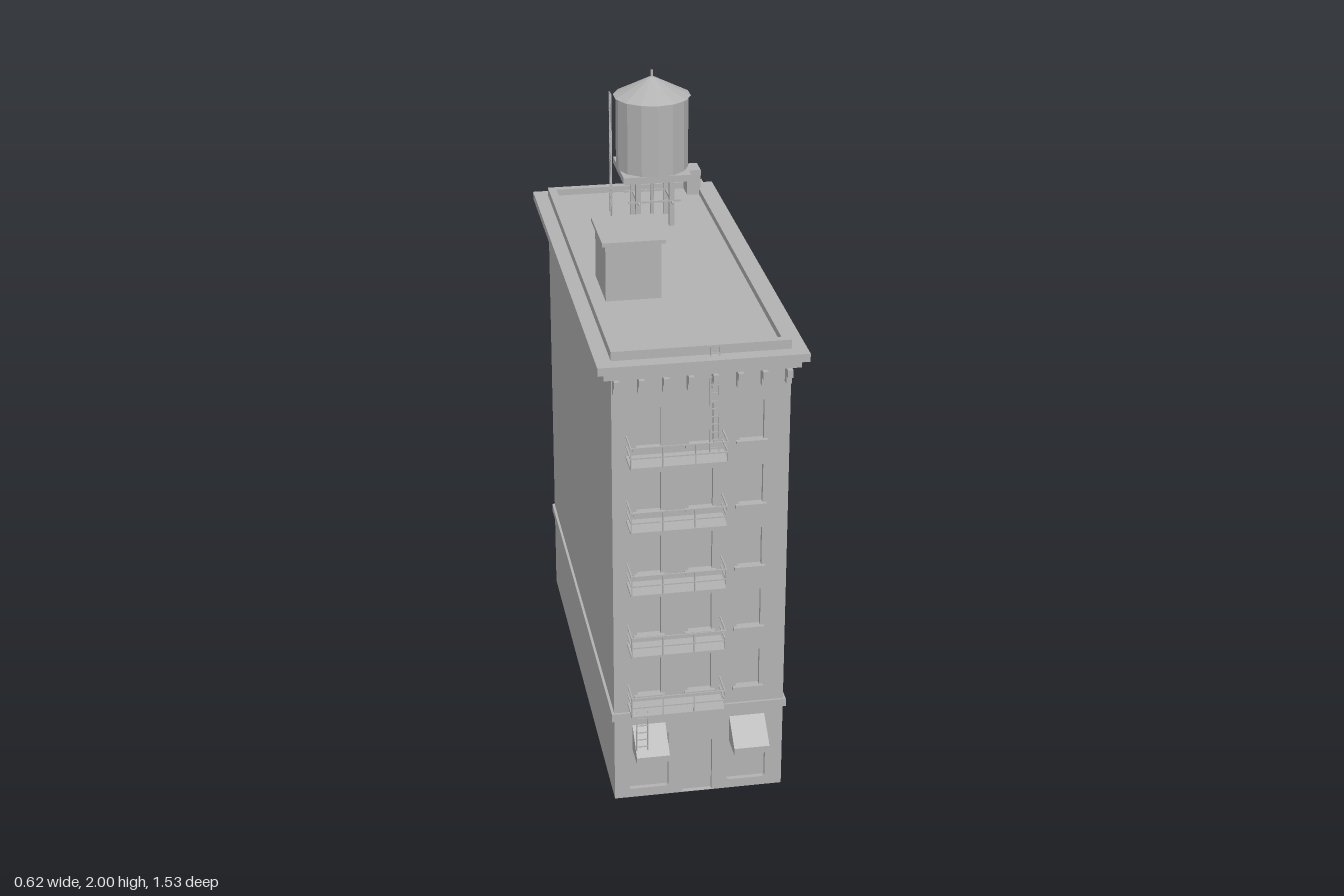
import * as THREE from 'three';

export function createModel() {
  const model = new THREE.Group();
  const stone = new THREE.MeshStandardMaterial({ color: 0xb2b2b2 });
  stone.name = 'stone grey';
  stone.flatShading = true;
  stone.side = THREE.DoubleSide;

  const add = (name, geometry, parent = model) => {
    const mesh = new THREE.Mesh(geometry, stone);
    mesh.name = name;
    parent.add(mesh);
    return mesh;
  };
  const group = (name) => {
    const g = new THREE.Group();
    g.name = name;
    model.add(g);
    return g;
  };
  // Box given by its extents on each axis
  const box = (name, x0, x1, y0, y1, z0, z1, parent) => {
    const mesh = add(name, new THREE.BoxGeometry(x1 - x0, y1 - y0, z1 - z0), parent);
    mesh.position.set((x0 + x1) / 2, (y0 + y1) / 2, (z0 + z1) / 2);
    return mesh;
  };
  // Rectangle outline with optional rounded corners
  const rect = (Type, x0, x1, y0, y1, r = 0) => {
    const s = new Type();
    if (!r) {
      return s.setFromPoints([[x0, y0], [x1, y0], [x1, y1], [x0, y1]].map(([x, y]) => new THREE.Vector2(x, y)));
    }
    s.absarc(x1 - r, y0 + r, r, -Math.PI / 2, 0);
    s.absarc(x1 - r, y1 - r, r, 0, Math.PI / 2);
    s.absarc(x0 + r, y1 - r, r, Math.PI / 2, Math.PI);
    s.absarc(x0 + r, y0 + r, r, Math.PI, Math.PI * 1.5);
    s.closePath();
    return s;
  };

  const W = 0.263, FRONT = 0.68, BACK = -0.72, MID = -0.02, DEPTH = 0.7, T = 0.02, WALL = 1.44;
  const floors = [0, 1, 2, 3, 4].map((i) => 0.37 + i * 0.209);
  const columns = [-0.155, 0, 0.15];

  // Hollow band running round the whole building
  const band = (name, out, inn, y0, y1) => {
    const s = rect(THREE.Shape, -W - out, W + out, -DEPTH - out, DEPTH + out);
    s.holes.push(rect(THREE.Path, -W + inn, W - inn, -DEPTH + inn, DEPTH - inn));
    const g = new THREE.ExtrudeGeometry(s, { depth: y1 - y0, bevelEnabled: false });
    g.rotateX(-Math.PI / 2);
    add(name, g).position.set(0, y0, MID);
  };

  // Wall pierced by openings, each closed by a recessed pane
  const piercedWall = (name, z, paneZ, openings) => {
    const g = group(name);
    const s = rect(THREE.Shape, -W, W, 0, WALL);
    for (const [x0, x1, y0, y1, r] of openings) {
      s.holes.push(rect(THREE.Path, x0, x1, y0, y1, r));
      box('pane', x0, x1, y0, y1, paneZ - 0.002, paneZ + 0.002, g);
    }
    add('wall', new THREE.ExtrudeGeometry(s, { depth: T, bevelEnabled: false, curveSegments: 4 }), g).position.z = z;
  };

  const windows = floors.flatMap((y) => columns.map((x) => [x - 0.036, x + 0.036, y, y + 0.125]));
  piercedWall('frontWall', FRONT - T, FRONT - T + 0.003, [
    ...windows,
    [-0.22, -0.095, 0.03, 0.23, 0.01],
    [0.087, 0.21, 0.03, 0.23, 0.01],
    [-0.05, 0.042, 0.001, 0.185],
  ]);
  piercedWall('backWall', BACK, BACK + T - 0.003, [
    ...windows,
    ...columns.map((x) => [x - 0.036, x + 0.036, 0.09, 0.195]),
  ]);
  for (const s of [-1, 1]) {
    const x = s * (W - T / 2);
    box('sideWall', x - T / 2, x + T / 2, 0, WALL, BACK + T, FRONT - T);
  }

  // Sills below the front windows
  for (const y of floors) {
    for (const x of columns) box('windowSill', x - 0.047, x + 0.047, y - 0.01, y, FRONT, FRONT + 0.012);
  }

  // Belt course, cornice, parapet and roof
  band('beltCourse', 0.008, 0.015, 0.285, 0.311);
  band('lowerCornice', 0.025, 0.02, 1.435, 1.46);
  band('upperCornice', 0.045, 0.02, 1.46, 1.485);
  band('parapet', 0, 0.026, 1.485, 1.513);
  box('roofDeck', -W + 0.01, W - 0.01, 1.45, 1.492, BACK + 0.01, FRONT - 0.01);
  for (let i = 0; i < 8; i++) {
    const x = -0.252 + i * 0.072;
    box('corniceBracket', x - 0.008, x + 0.008, 1.385, 1.41, FRONT, FRONT + 0.022);
    box('corniceBracket', x - 0.008, x + 0.008, 1.41, 1.435, FRONT, FRONT + 0.04);
  }

  // Shop awnings with a sloped top and a short valance
  for (const [x0, x1] of [[-0.207, -0.105], [0.095, 0.205]]) {
    const s = new THREE.Shape([[0, 0.175], [0.085, 0.175], [0.085, 0.197], [0, 0.262]].map((p) => new THREE.Vector2(...p)));
    const g = new THREE.ExtrudeGeometry(s, { depth: x1 - x0, bevelEnabled: false });
    g.rotateY(-Math.PI / 2);
    add('awning', g).position.set(x1, 0, FRONT);
  }

  // Ladder facing along z, or along x when turned
  const ladder = (name, x, z, y0, y1, width, turned) => {
    const g = group(name);
    const h = width / 2;
    for (const s of [-h, h]) box('ladderRail', s - 0.002, s + 0.002, y0, y1, -0.002, 0.002, g);
    for (let y = y0 + 0.015; y < y1; y += 0.025) box('rung', -h, h, y - 0.0015, y + 0.0015, -0.0015, 0.0015, g);
    g.position.set(x, 0, z);
    if (turned) g.rotation.y = Math.PI / 2;
  };

  // Fire escape balconies with railings
  const L = -0.222, R = 0.065, OUT = 0.765, b = 0.002;
  for (const floor of floors) {
    const g = group('fireEscapeBalcony');
    const y = floor - 0.03;
    box('platform', L, R, y, y + 0.006, FRONT, OUT, g);
    for (const h of [0.036, 0.068]) {
      box('frontRail', L, R, y + h - b, y + h + b, OUT - 2 * b, OUT, g);
      for (const x of [L + b, R - b]) box('sideRail', x - b, x + b, y + h - b, y + h + b, FRONT, OUT, g);
    }
    for (let i = 0; i < 4; i++) {
      const x = L + b + (i / 3) * (R - L - 2 * b);
      box('railPost', x - b, x + b, y, y + 0.07, OUT - 2 * b, OUT, g);
    }
  }
  ladder('dropLadder', -0.187, 0.745, 0.21, 0.35, 0.034);
  ladder('roofLadder', 0.036, 0.695, 1.18, 1.515, 0.026);

  // Stair bulkhead and chimney
  box('bulkhead', -0.213, -0.043, 1.49, 1.67, 0.048, 0.256);
  box('bulkheadCap', -0.224, -0.032, 1.67, 1.682, 0.037, 0.267);
  box('chimney', 0.197, 0.243, 1.49, 1.578, -0.7, -0.627);

  // Rooftop water tank on its stand
  const X = 0.04, Z = -0.408, leg = 0.055;
  for (const s of [-1, 1]) {
    for (const t of [-1, 1]) {
      const x = X + s * leg, z = Z + t * leg;
      box('tankLeg', x - 0.008, x + 0.008, 1.49, 1.66, z - 0.008, z + 0.008);
    }
    box('tankBrace', X - 0.085, X + 0.085, 1.573, 1.579, Z + s * leg - 0.003, Z + s * leg + 0.003);
    box('tankBrace', X + s * leg - 0.003, X + s * leg + 0.003, 1.573, 1.579, Z - 0.085, Z + 0.085);
  }
  box('tankPlatform', X - 0.11, X + 0.11, 1.658, 1.68, Z - 0.11, Z + 0.11);
  const round = (name, r0, r1, y0, y1, sides) => {
    add(name, new THREE.CylinderGeometry(r1, r0, y1 - y0, sides)).position.set(X, (y0 + y1) / 2, Z);
  };
  round('waterTank', 0.117, 0.117, 1.68, 1.92, 14);
  round('tankRoof', 0.125, 0.004, 1.918, 1.98, 14);
  round('finial', 0.005, 0.004, 1.97, 2, 8);
  round('waterPipe', 0.007, 0.007, 1.49, 1.66, 8);
  ladder('tankLadder', X - 0.135, Z, 1.49, 1.93, 0.03, true);

  return model;
}
